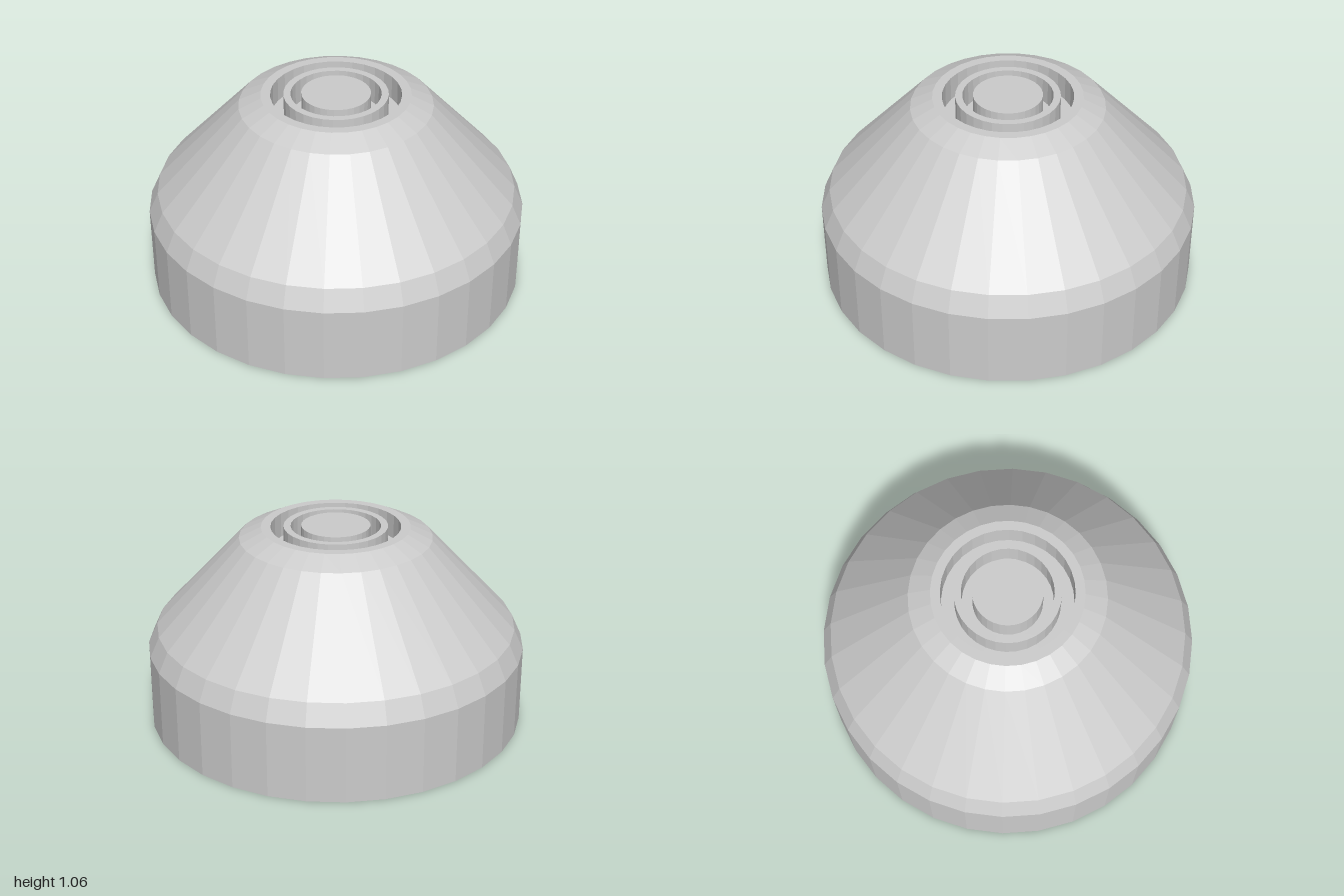
import * as THREE from 'three';

const SIDES = 32;
const FLOOR = 0.925; // bottom of the ring-shaped grooves

const material = new THREE.MeshStandardMaterial({ color: 0xcccccc, flatShading: true });

// Revolve a profile of [radius, height] pairs around the y axis
function turned(name, profile) {
  const points = profile.map(([r, y]) => new THREE.Vector2(r, y));
  const mesh = new THREE.Mesh(new THREE.LatheGeometry(points, SIDES), material);
  mesh.name = name;
  return mesh;
}

export function createModel() {
  const model = new THREE.Group();
  model.name = 'taperedKnob';

  // Faceted body: straight skirt, bevel, cone, top bevel, rim and the round well in it
  model.add(turned('body', [
    [0, 0], [1, 0], [1, 0.41], [0.95, 0.52], [0.505, 1],
    [0.39, 1.055], [0.34, 1.055], [0.34, FLOOR], [0, FLOOR],
  ]));

  // Thin raised ring standing in the well
  model.add(turned('innerRing', [
    [0.272, FLOOR], [0.272, 1.057], [0.235, 1.057], [0.235, FLOOR],
  ]));

  // Central round button
  model.add(turned('centreButton', [
    [0.18, FLOOR], [0.18, 1.06], [0, 1.06],
  ]));

  return model;
}
